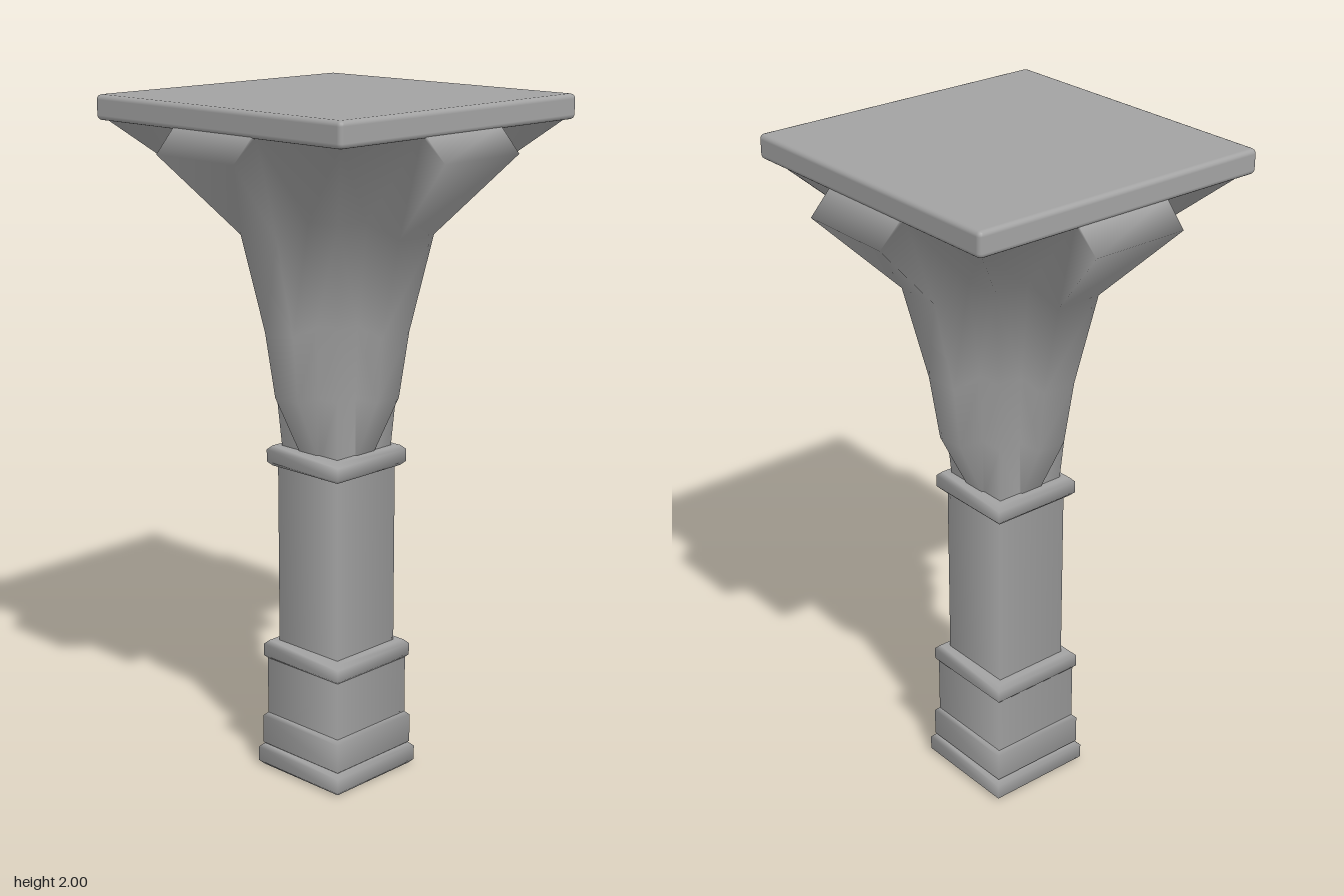
import * as THREE from 'three';
import { RoundedBoxGeometry } from 'three/addons/geometries/RoundedBoxGeometry.js';

const material = new THREE.MeshStandardMaterial({ color: 0xa2a2a2 });

// Four-sided turned part with soft corners; profile points are [half width, height]
function squareTurning(name, profile) {
  const points = profile.map(([half, y]) => new THREE.Vector2(half * Math.SQRT2, y));
  const mesh = new THREE.Mesh(new THREE.LatheGeometry(points, 4, Math.PI / 4), material);
  mesh.name = name;
  return mesh;
}

// Moulding with bevelled upper and lower edges
function moulding(name, bottom, top, half, bevel = 0.012) {
  return squareTurning(name, [
    [0, bottom], [half - bevel, bottom], [half, bottom + bevel],
    [half, top - bevel], [half - bevel, top], [0, top],
  ]);
}

// Plain section whose ends are buried in the mouldings
function plainSection(name, bottom, top, half) {
  return squareTurning(name, [[half, bottom], [half, top]]);
}

// Flared capital: each row is a square ring with a projecting rib on every side.
// corner: half size of the core; base: rib root; front: rib face
function capitalGeometry() {
  const rows = [
    { corner: 0.11, y: 0.99, baseX: 0.04, baseZ: 0.11, frontX: 0.035, frontZ: 0.112, frontY: 0.99 },
    { corner: 0.122, y: 1.17, baseX: 0.052, baseZ: 0.125, frontX: 0.045, frontZ: 0.2, frontY: 1.17 },
    { corner: 0.135, y: 1.38, baseX: 0.065, baseZ: 0.145, frontX: 0.055, frontZ: 0.227, frontY: 1.36 },
    { corner: 0.19, y: 1.68, baseX: 0.09, baseZ: 0.2, frontX: 0.07, frontZ: 0.3, frontY: 1.64 },
    { corner: 0.448, y: 1.935, baseX: 0.15, baseZ: 0.448, frontX: 0.148, frontZ: 0.525, frontY: 1.87 },
    { corner: 0.448, y: 1.945, baseX: 0.15, baseZ: 0.448, frontX: 0.15, frontZ: 0.458, frontY: 1.94 },
  ];
  const positions = [];
  const indices = [];
  const perSide = 5;
  const ring = perSide * 4;
  const up = new THREE.Vector3(0, 1, 0);

  for (const r of rows) {
    const side = [
      [-r.corner, r.y, r.corner],
      [-r.baseX, r.y, r.baseZ],
      [-r.frontX, r.frontY, r.frontZ],
      [r.frontX, r.frontY, r.frontZ],
      [r.baseX, r.y, r.baseZ],
    ];
    for (let k = 0; k < 4; k++) {
      for (const p of side) {
        const v = new THREE.Vector3(...p).applyAxisAngle(up, k * Math.PI / 2);
        positions.push(v.x, v.y, v.z);
      }
    }
  }

  for (let row = 0; row < rows.length - 1; row++) {
    for (let i = 0; i < ring; i++) {
      const a = row * ring + i;
      const b = row * ring + (i + 1) % ring;
      const c = b + ring;
      const d = a + ring;
      // mirror the diagonals about the middle of each side
      if (i % perSide < 2) indices.push(a, b, d, b, c, d);
      else indices.push(a, b, c, a, c, d);
    }
  }

  // shared vertices keep the flare and its ribs softly shaded
  const geometry = new THREE.BufferGeometry();
  geometry.setAttribute('position', new THREE.Float32BufferAttribute(positions, 3));
  geometry.setIndex(indices);
  geometry.computeVertexNormals();
  return geometry;
}

export function createModel() {
  const model = new THREE.Group();
  model.name = 'column';

  // Stepped base, shaft and collar
  model.add(
    moulding('plinth', 0, 0.068, 0.165),
    moulding('lowerBase', 0.06, 0.17, 0.155),
    plainSection('upperBase', 0.16, 0.35, 0.144),
    moulding('baseMoulding', 0.34, 0.4, 0.152),
    plainSection('shaft', 0.39, 0.95, 0.119),
    moulding('collar', 0.94, 1.0, 0.142),
  );

  // Ribbed flare
  const capital = new THREE.Mesh(capitalGeometry(), material);
  capital.name = 'capital';
  model.add(capital);

  // Top slab
  const abacus = new THREE.Mesh(new RoundedBoxGeometry(0.934, 0.07, 0.934, 2, 0.014), material);
  abacus.position.y = 1.965;
  abacus.name = 'abacus';
  model.add(abacus);

  return model;
}
